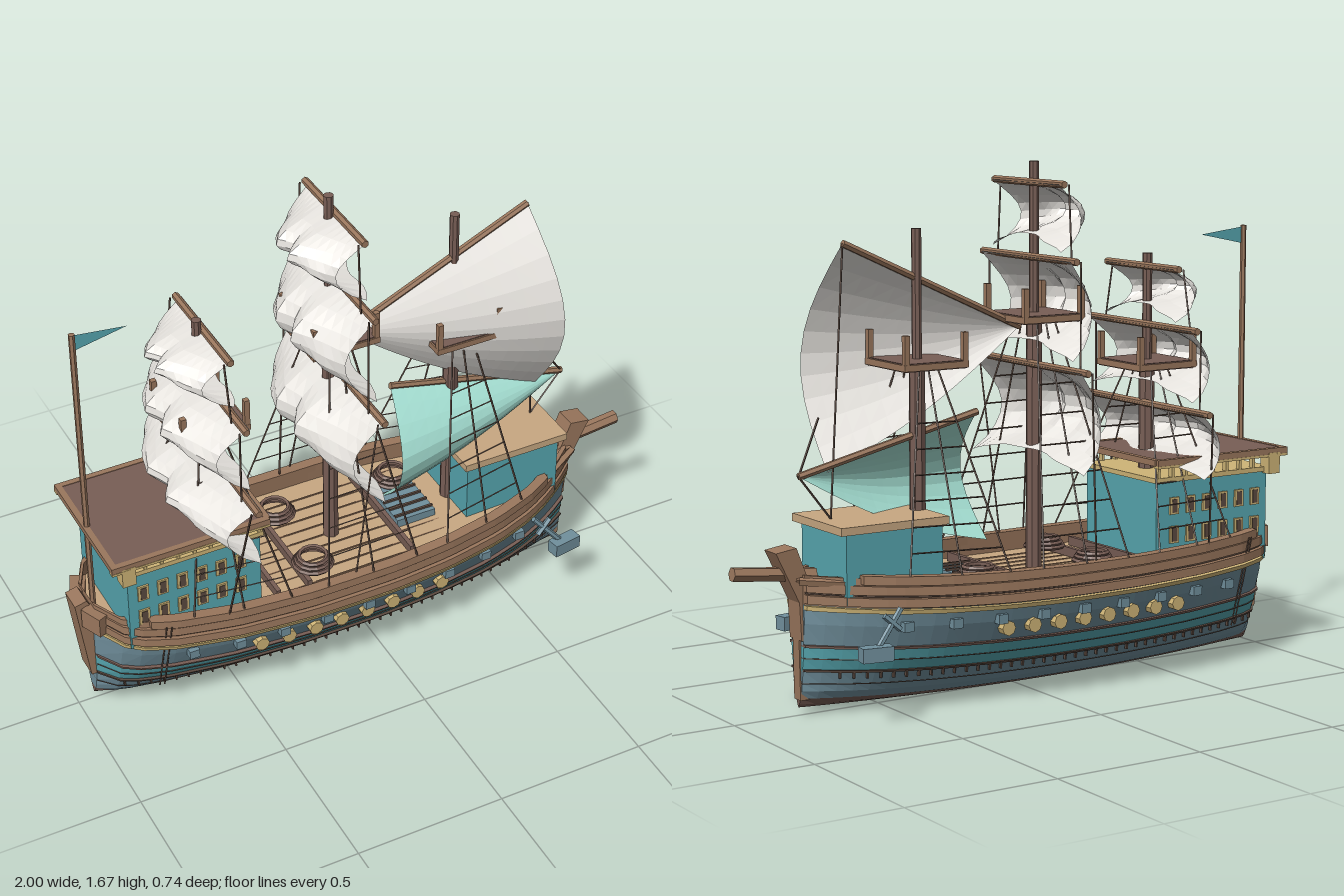
import * as THREE from 'three';

const mat = (name, color) => new THREE.MeshStandardMaterial({ name, color, flatShading: true, side: THREE.DoubleSide });
const M = {
  canvas: mat('canvas', 0xe6e3de), mint: mat('mint canvas', 0xaae6d9), teal: mat('teal paint', 0x57a7b0),
  slate: mat('slate paint', 0x71909d), tan: mat('tan planks', 0xc8a882), wood: mat('wood', 0x9a775d),
  dark: mat('dark wood', 0x785e55), gold: mat('gold trim', 0xcfb577), rope: mat('dark rope', 0x5c4a40),
};
const V = (x, y, z) => new THREE.Vector3(x, y, z);

// Piecewise linear lookup in a list of [position, value]
function lookup(t, x) {
  for (let i = 1; i < t.length; i++) if (x <= t[i][0]) {
    const k = Math.max(0, (x - t[i - 1][0]) / (t[i][0] - t[i - 1][0]));
    return t[i - 1][1] + k * (t[i][1] - t[i - 1][1]);
  }
  return t[t.length - 1][1];
}
// Hull half-width along the ship, its share at each height, and the belly of a square sail
const PLAN = [[-0.945, 0.06], [-0.91, 0.15], [-0.85, 0.2], [-0.75, 0.24], [-0.55, 0.28], [-0.3, 0.3], [0, 0.3],
  [0.2, 0.285], [0.4, 0.25], [0.55, 0.2], [0.65, 0.145], [0.72, 0.095], [0.78, 0.045]];
const SECTION = [[0, 0.05], [0.03, 0.31], [0.06, 0.44], [0.1, 0.58], [0.155, 0.7], [0.2, 0.78], [0.24, 0.84], [0.3, 0.94],
  [0.33, 0.98], [0.43, 0.96]];
const BELLY = [[0, 0.8], [0.25, 1], [0.6, 0.8], [1, 0.52]];
const sheer = x => 0.025 * ((x + 0.08) / 0.86) ** 2;
const hullZ = (x, y) => lookup(PLAN, x) * lookup(SECTION, y);

// Sheet of nu by nv faces over a point rule
function sheet(nu, nv, rule) {
  const pos = [], idx = [];
  for (let i = 0; i <= nu; i++) for (let j = 0; j <= nv; j++) pos.push(...rule(i / nu, j / nv).toArray());
  for (let i = 0; i < nu; i++) for (let j = 0; j < nv; j++) {
    const a = i * (nv + 1) + j, b = a + nv + 1;
    idx.push(a, b, b + 1, a, b + 1, a + 1);
  }
  const g = new THREE.BufferGeometry();
  g.setAttribute('position', new THREE.Float32BufferAttribute(pos, 3));
  g.setIndex(idx);
  const flat = g.toNonIndexed();
  flat.computeVertexNormals();
  return flat;
}

export function createModel() {
  const ship = new THREE.Group();
  ship.name = 'sailingShip';
  const add = (name, geo, m) => {
    const mesh = new THREE.Mesh(geo, m);
    mesh.name = name;
    ship.add(mesh);
    return mesh;
  };
  const box = (name, m, w, h, d, x, y, z) => {
    const b = add(name, new THREE.BoxGeometry(w, h, d), m);
    b.position.set(x, y, z);
    return b;
  };
  const bar = (name, m, a, b, r = 0.0035, sides = 4) => {
    const d = b.clone().sub(a);
    const c = add(name, new THREE.CylinderGeometry(r, r, d.length(), sides), m);
    c.position.copy(a).add(b).multiplyScalar(0.5);
    c.quaternion.setFromUnitVectors(V(0, 1, 0), d.normalize());
    return c;
  };
  // Strake along both sides, closed at both ends: profile of [height, outward offset]
  const strake = (name, m, profile, x0 = -0.945, x1 = 0.78) => {
    for (const s of [1, -1]) add(name, sheet(36, profile.length - 1, (u, v) => {
      const k = THREE.MathUtils.clamp((u * 36 - 1) / 34, 0, 1), x = x0 + k * (x1 - x0);
      const [y, o] = profile[Math.round(v * (profile.length - 1))];
      return V(x, y + sheer(x), u === 0 || u === 1 ? 0 : s * Math.max(0, hullZ(x, y) + o));
    }), m);
  };
  const ledge = (y0, y1, o) => [[y0, 0], [y0, o], [y1, o], [y1, -0.01]];

  // Hull
  strake('keelPlanks', M.dark, [[0, -0.02], [0.01, 0], [0.03, 0]]);
  strake('lowerHull', M.slate, [[0.03, 0], [0.055, 0.004], [0.08, 0], [0.08, 0.004], [0.12, 0.004]]);
  strake('tealHull', M.teal, [[0.12, 0], [0.16, 0.004], [0.2, 0.004]]);
  strake('upperHull', M.slate, [[0.2, 0], [0.27, 0.004], [0.33, 0]]);
  strake('bulwark', M.wood, [[0.33, 0.004], [0.42, 0.004], [0.42, -0.015]]);
  strake('bulwarkLining', M.wood, [[0.42, -0.015], [0.36, -0.015]]);
  strake('lowerRope', M.rope, ledge(0.119, 0.126, 0.012));
  strake('upperRope', M.dark, ledge(0.196, 0.204, 0.014));
  strake('plankSeam', M.rope, ledge(0.078, 0.081, 0.007));
  strake('plankSeam', M.rope, ledge(0.159, 0.162, 0.008));
  strake('goldStrake', M.gold, ledge(0.314, 0.328, 0.02));
  strake('wale', M.wood, ledge(0.335, 0.362, 0.022));
  strake('railWale', M.wood, ledge(0.37, 0.398, 0.016));
  strake('waleSeam', M.rope, ledge(0.364, 0.368, 0.01));
  strake('rail', M.wood, [[0.402, -0.018], [0.402, 0.02], [0.43, 0.02], [0.43, -0.018], [0.402, -0.018]], -0.82, 0.64);
  add('deck', sheet(34, 6, (u, v) => {
    const x = -0.94 + u * 1.715;
    return V(x, 0.365 + sheer(x), (v * 2 - 1) * (hullZ(x, 0.365) - 0.005));
  }), M.tan);

  // Stem, stern post and their knees
  const post = (name, pts, depth) => add(name, new THREE.ExtrudeGeometry(
    new THREE.Shape(pts.map(p => new THREE.Vector2(...p))), { depth, bevelEnabled: false }), M.wood).position.z = -depth / 2;
  post('stem', [[0.75, 0.05], [0.783, 0.05], [0.788, 0.36], [0.75, 0.36]], 0.04);
  post('stemHead', [[0.77, 0.24], [0.786, 0.24], [0.792, 0.36], [0.87, 0.52], [0.8, 0.53], [0.73, 0.35]], 0.075);
  post('sternPost', [[-0.93, 0.14], [-0.962, 0.14], [-1, 0.44], [-0.96, 0.45], [-0.91, 0.35]], 0.08);
  bar('bowsprit', M.wood, V(0.72, 0.435, 0), V(1, 0.465, 0), 0.023, 6);
  for (const s of [1, -1]) {
    box('sternKnee', M.wood, 0.05, 0.07, 0.08, -0.945, 0.395, s * 0.075).rotation.y = s * 0.4;
    for (const z of [0.05, 0.09]) bar('bowKnee', M.wood, V(0.67, 0.42, s * z * 1.4), V(0.8, 0.43, s * z * 0.6), 0.013);
  }

  // Aft cabin, with a roof raised on short posts
  box('aftCabin', M.teal, 0.45, 0.3, 0.39, -0.655, 0.49, 0);
  box('cabinTrim', M.gold, 0.47, 0.016, 0.41, -0.655, 0.643, 0);
  box('cabinRoof', M.dark, 0.51, 0.016, 0.43, -0.67, 0.705, 0);
  for (const s of [1, -1]) {
    box('roofRail', M.wood, 0.53, 0.02, 0.02, -0.675, 0.705, s * 0.222);
    box('roofRailTrim', M.gold, 0.53, 0.008, 0.022, -0.675, 0.691, s * 0.222);
    for (let i = 0; i < 9; i++) box('roofPost', M.gold, 0.01, 0.045, 0.018, -0.875 + i * 0.055, 0.672, s * 0.195);
    for (let i = 0; i < 6; i++) for (const y of [0.46, 0.555]) {
      const x = -0.83 + i * 0.066;
      box('windowFrame', M.gold, 0.036, 0.056, 0.008, x, y, s * 0.197);
      box('windowPane', M.rope, 0.02, 0.044, 0.008, x, y, s * 0.199);
    }
    box('lantern', M.gold, 0.045, 0.07, 0.045, -0.885, 0.665, s * 0.21);
  }
  for (const x of [-0.93, -0.415]) box('endRail', M.wood, 0.02, 0.02, 0.44, x, 0.705, 0);
  // Fore cabin
  box('foreCabin', M.teal, 0.34, 0.22, 0.28, 0.515, 0.465, 0);
  box('foreCabinRoof', M.tan, 0.38, 0.025, 0.31, 0.52, 0.587, 0);

  // Deck beams, gratings and rope coils
  for (let i = 0; i < 9; i++) box('deckSeam', M.wood, 0.7, 0.004, 0.004, -0.04, 0.367, -0.2 + i * 0.05);
  for (const x of [-0.38, -0.27, 0.1]) box('deckBeam', M.dark, 0.015, 0.03, 0.44, x, 0.385, 0);
  box('hatch', M.slate, 0.14, 0.03, 0.2, 0.19, 0.38, -0.02);
  for (let i = 0; i < 5; i++) box('hatchBar', M.rope, 0.14, 0.008, 0.008, 0.19, 0.398, -0.1 + i * 0.04);
  for (const [x, z] of [[0.21, -0.13], [-0.22, -0.14], [-0.22, 0.14]]) for (let k = 0; k < 3; k++) {
    const c = add('ropeCoil', new THREE.TorusGeometry(0.062 - k * 0.008, 0.008, 5, 14), M.dark);
    c.rotation.x = Math.PI / 2;
    c.position.set(x, 0.4 + k * 0.012, z);
  }

  // Hull side fittings
  for (const s of [1, -1]) {
    for (let i = 0; i < 8; i++) {
      const x = -0.465 + i * 0.093;
      const g = add('gunPort', new THREE.CylinderGeometry(0.024, 0.024, 0.03, 8), M.gold);
      g.rotation.x = Math.PI / 2;
      g.position.set(x, 0.25, s * (hullZ(x, 0.25) + 0.012));
    }
    for (let i = 0; i < 9; i++) {
      const x = -0.69 + i * 0.15;
      box('sidePlate', M.slate, 0.034, 0.03, 0.026, x, 0.283, s * (hullZ(x, 0.283) + 0.008));
    }
    for (let i = 0; i < 40; i++) {
      const x = -0.88 + i * 0.04;
      box('ropeCleat', M.rope, 0.005, 0.02, 0.01, x, 0.11 + sheer(x), s * (hullZ(x, 0.11) + 0.008));
    }
    for (const x of [-0.78, -0.765]) bar('sideLadder', M.rope, V(x, 0.12, s * (hullZ(x, 0.12) + 0.02)), V(x, 0.43, s * (hullZ(x, 0.43) + 0.03)), 0.003);
    // Anchor
    bar('anchorShank', M.slate, V(0.55, 0.35, s * 0.23), V(0.65, 0.235, s * 0.255), 0.01, 6);
    bar('anchorStock', M.slate, V(0.56, 0.29, s * 0.245), V(0.61, 0.335, s * 0.235), 0.01, 5);
    box('anchorFluke', M.slate, 0.1, 0.045, 0.045, 0.655, 0.23, s * 0.262).rotation.y = s * 0.15;
  }

  // Masts with lookout platforms and shrouds
  const masts = [
    { x: -0.53, top: 1.36, nest: 1, yards: [[1.32, 0.2, 0.17], [1.13, 0.3, 0.23], [0.87, 0.37, 0.21]] },
    { x: -0.085, top: 1.67, nest: 1.18, yards: [[1.605, 0.2, 0.21], [1.37, 0.27, 0.31], [1.03, 0.335, 0.32]] },
    { x: 0.35, top: 1.475, nest: 1.06, yards: [] },
  ];
  for (const { x, top, nest, yards } of masts) {
    bar('lowerMast', M.dark, V(x, 0.35, 0), V(x, nest, 0), 0.026, 8);
    bar('upperMast', M.dark, V(x, nest, 0), V(x, top, 0), 0.016, 8);
    box('lookoutRim', M.wood, 0.23, 0.02, 0.24, x, nest, 0);
    box('lookoutFloor', M.dark, 0.22, 0.026, 0.23, x, nest, 0);
    for (const sx of [1, -1]) for (const s of [1, -1])
      box('lookoutPost', M.wood, 0.018, 0.1, 0.018, x + sx * 0.105, nest + 0.05, s * 0.11);

    for (const s of [1, -1]) {
      const foot = k => V(x + k * 0.16, 0.43, s * (hullZ(x + k * 0.16, 0.43) + 0.015));
      const head = k => V(x + k * 0.035, nest - 0.02, s * 0.07);
      for (const k of [-1, 0, 1]) bar('shroud', M.rope, foot(k), head(k));
      for (let i = 1; i < 7; i++) bar('ratline', M.rope, foot(-1).lerp(head(-1), i / 8), foot(1).lerp(head(1), i / 8), 0.0025);
      // Lines from yard to yard and down to the rail
      yards.forEach(([y, half], i) => {
        const n = yards[i + 1];
        bar('yardLine', M.rope, V(x, y, s * half * 0.97), n ? V(x, n[0], s * n[1] * 0.78) : V(x - 0.05, 0.43, s * 0.28));
      });
    }
    for (const [y, half, h] of yards) {
      bar('yard', M.wood, V(x + 0.02, y, -half), V(x + 0.02, y, half), 0.012, 6);
      // Two-lobed billowing square sail, its sides filling lower than its middle
      add('squareSail', sheet(16, 8, (u, v) => {
        const a = u * 2 - 1, e = Math.abs(a), fill = Math.sin(Math.PI * v ** (0.85 + 0.4 * e));
        const px = x + 0.035 - 0.195 * Math.max(0, fill) ** 0.8 * lookup(BELLY, e) + 0.01 * Math.sin(9 * a + 7 * v) * v;
        return V(px, y - h * v + 0.05 * v * v * (1 - e * e), a * half * (0.95 - 0.09 * Math.sin(Math.PI * v)));
      }), M.canvas);
    }
  }

  // Triangular sails: apex A, bulging far edge from B to C
  const triSail = (name, m, A, B, C, out) => add(name, sheet(12, 10, (t, w) => {
    const p = A.clone().lerp(B.clone().lerp(C, w), t), belly = Math.sin(Math.PI * w);
    p.x += Math.sign(B.x - A.x) * 0.025 * belly * t;
    p.z += out * belly * t;
    p.y -= 0.04 * Math.sin(Math.PI * t) * w;
    return p;
  }), m);
  const A = V(-0.03, 1.15, 0), B = V(0.61, 1.44, 0), C = V(0.66, 0.74, 0.02);
  triSail('foreSail', M.canvas, A, B, C, 0.17);
  bar('foreSpar', M.wood, A, B, 0.012, 6);
  bar('foreSheet', M.rope, B, V(0.66, 0.6, 0));
  bar('foreSheet', M.rope, V(0.65, 0.9, 0.09), V(0.77, 0.74, 0));
  const P = V(0.13, 0.89, 0), Q = V(0.77, 0.74, 0), R = V(0.08, 0.47, 0.02);
  triSail('mintSail', M.mint, Q, P, R, 0.17);
  bar('mintSpar', M.wood, P, Q, 0.012, 6);
  bar('mintSheet', M.rope, Q, V(0.66, 0.6, 0));

  // Stern flag
  bar('flagPole', M.wood, V(-0.925, 0.36, 0), V(-0.925, 1.435, 0), 0.01, 6);
  add('flag', new THREE.ShapeGeometry(new THREE.Shape([
    new THREE.Vector2(-0.92, 1.43), new THREE.Vector2(-0.92, 1.375), new THREE.Vector2(-0.75, 1.41)])), M.teal);

  return ship;
}
